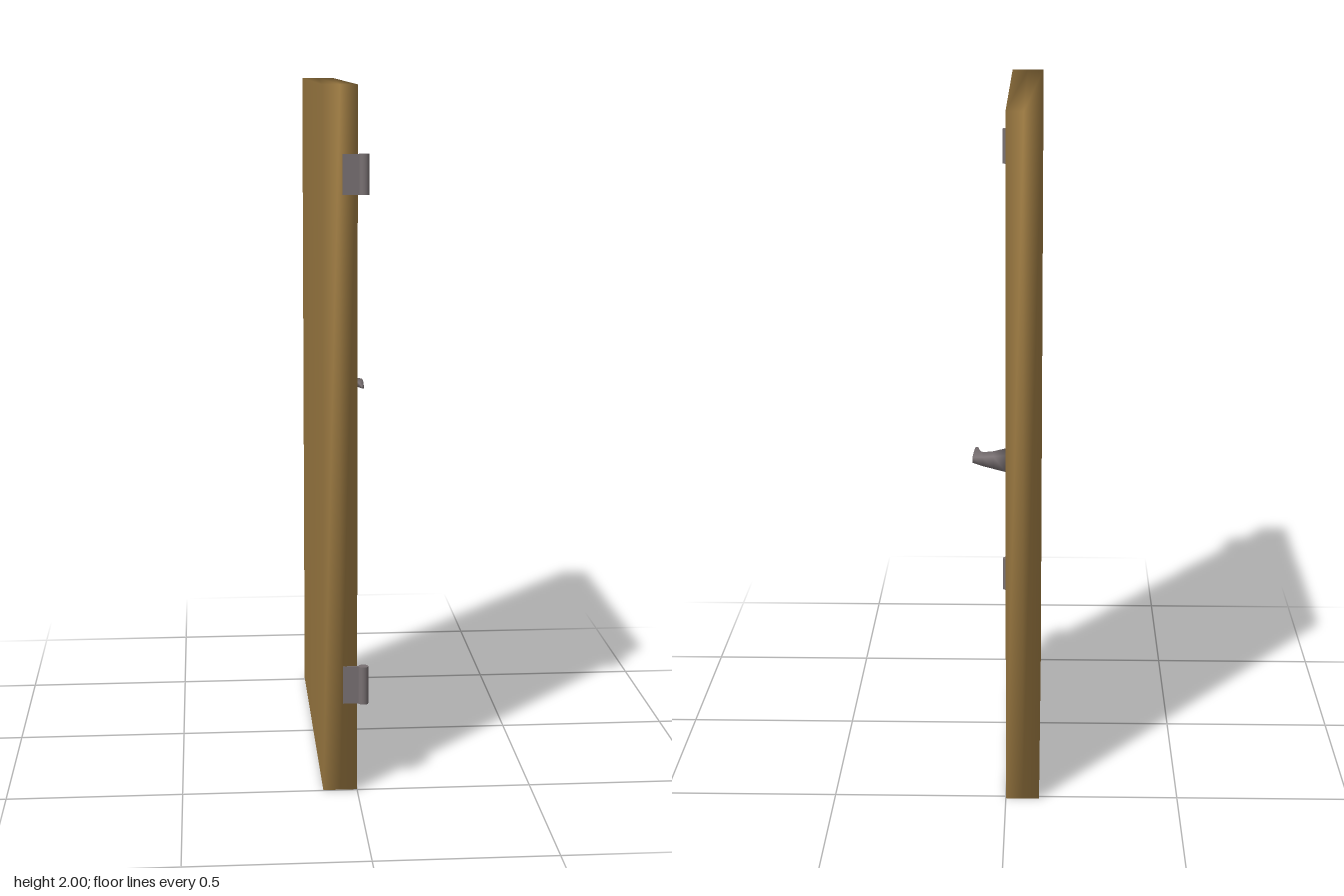
import * as THREE from 'three';
import { mergeVertices } from 'three/addons/utils/BufferGeometryUtils.js';

const wood = new THREE.MeshStandardMaterial({ name: 'wood', color: 0x9c7a42 });
const metal = new THREE.MeshStandardMaterial({ name: 'metal', color: 0x787072 });

function addMesh(parent, name, geometry, material, x = 0, y = 0, z = 0) {
  const mesh = new THREE.Mesh(geometry, material);
  mesh.name = name;
  mesh.position.set(x, y, z);
  parent.add(mesh);
  return mesh;
}

// Slab with a middle edge loop and shared smooth normals
function slabGeometry() {
  const box = new THREE.BoxGeometry(0.097, 2, 1.01, 2, 1, 1);
  box.deleteAttribute('normal');
  box.deleteAttribute('uv');
  const slab = mergeVertices(box);
  slab.computeVertexNormals();
  return slab;
}

// Curved lever lofted through four-cornered sections
function handleGeometry() {
  // outer x, outer z, inner x, inner z, half height
  const sections = [
    [0, -0.503, 0, -0.433, 0.024],
    [0.035, -0.493, 0.035, -0.443, 0.018],
    [0.065, -0.484, 0.063, -0.436, 0.013],
    [0.094, -0.47, 0.072, -0.413, 0.008],
    [0.092, -0.405, 0.078, -0.385, 0.006],
    [0.089, -0.356, 0.082, -0.353, 0.003],
  ];
  const positions = [];
  const index = [];
  sections.forEach(([ox, oz, ix, iz, h], s) => {
    positions.push(ox, h, oz, ox, -h, oz, ix, -h, iz, ix, h, iz);
    if (s === 0) return;
    for (let i = 0; i < 4; i++) {
      const j = (i + 1) % 4;
      const a = (s - 1) * 4 + i, b = (s - 1) * 4 + j;
      index.push(a, a + 4, b, b, a + 4, b + 4);
    }
  });
  const e = (sections.length - 1) * 4;
  index.push(e, e + 3, e + 2, e, e + 2, e + 1);
  index.push(0, 1, 2, 0, 2, 3);
  const geometry = new THREE.BufferGeometry();
  geometry.setAttribute('position', new THREE.Float32BufferAttribute(positions, 3));
  geometry.setIndex(index);
  geometry.computeVertexNormals();
  return geometry;
}

export function createModel() {
  const door = new THREE.Group();
  door.name = 'door';

  addMesh(door, 'doorSlab', slabGeometry(), wood, -0.0485, 1, -0.008);
  addMesh(door, 'handle', handleGeometry(), metal, 0, 1.023, 0);

  // Hinges: thin leaf on the edge plus a round knuckle
  const leaf = new THREE.BoxGeometry(0.05, 0.11, 0.006);
  const knuckle = new THREE.CylinderGeometry(0.0145, 0.0145, 0.11, 16);
  for (const [name, y] of [['upperHinge', 1.76], ['lowerHinge', 0.315]]) {
    const hinge = new THREE.Group();
    hinge.name = name;
    hinge.position.y = y;
    addMesh(hinge, 'hingeLeaf', leaf, metal, -0.016, 0, 0.498);
    addMesh(hinge, 'hingeKnuckle', knuckle, metal, 0.0175, 0, 0.499);
    door.add(hinge);
  }
  return door;
}
